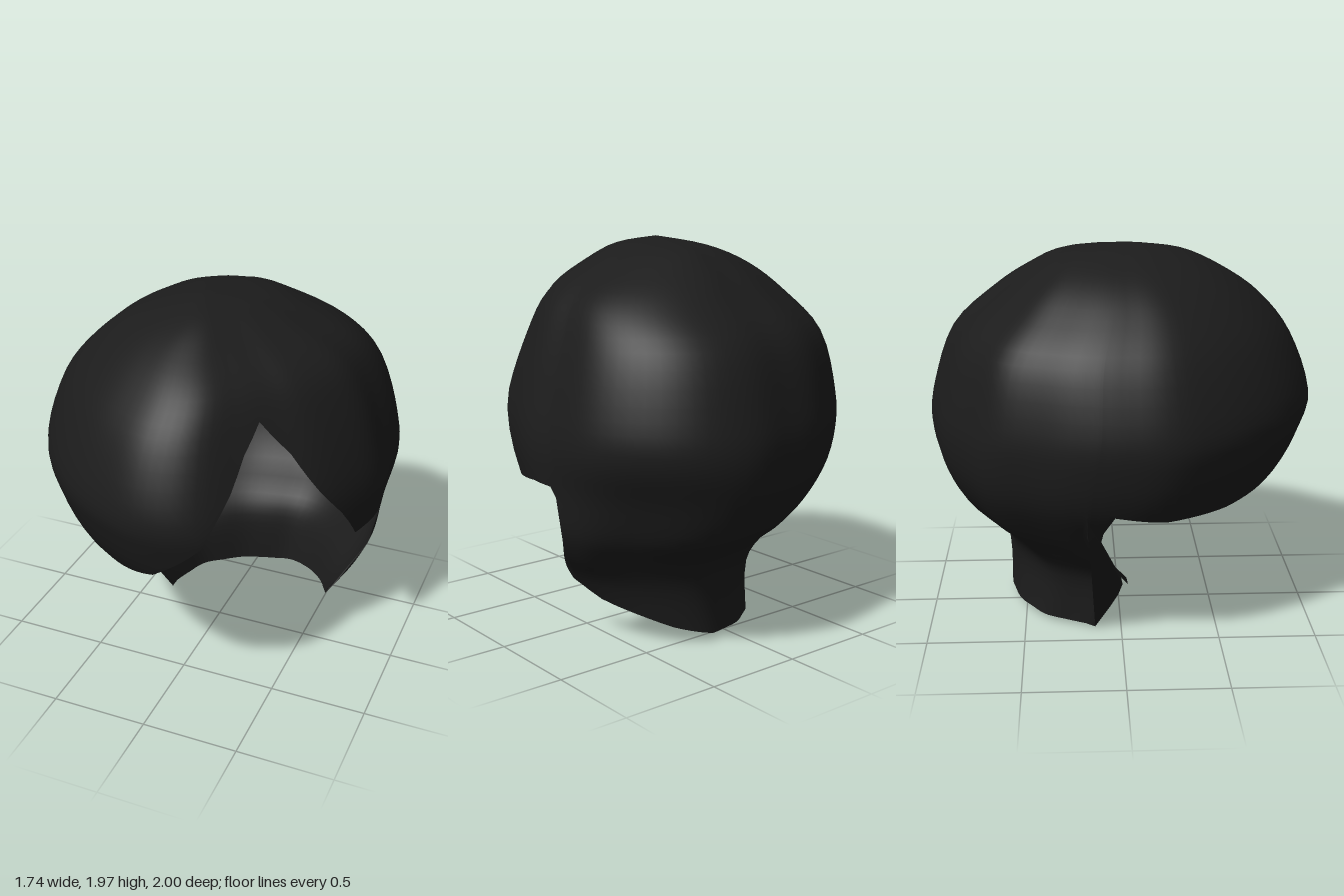
import * as THREE from 'three';
import { mergeVertices } from 'three/addons/utils/BufferGeometryUtils.js';

// Plan radius every 15 degrees, from the front (+z) round through +x
const PLAN = [0.995, 0.985, 0.88, 0.82, 0.82, 0.825, 0.86, 0.885, 0.97, 1.02, 1.05, 1.035,
  0.96, 0.93, 0.9, 0.91, 0.87, 0.87, 0.875, 0.895, 0.885, 0.89, 0.915, 0.95];

// Levels from crown to nape: y, x min, x max, z min, z max,
// lean (away from the parting), swell (of the back left quarter)
const LEVELS = [
  [1.97, -0.04, -0.04, 0.1, 0.1, 0.05, 0.02],
  [1.93, -0.2, 0.2, -0.27, 0.33, 0.05, 0.02],
  [1.84, -0.42, 0.41, -0.46, 0.53, 0.05, 0.02],
  [1.7, -0.6, 0.63, -0.65, 0.73, 0.05, 0.03],
  [1.5, -0.76, 0.75, -0.86, 0.89, 0.04, 0.03],
  [1.2, -0.86, 0.84, -0.97, 1.0, 0.01, 0.02],
  [1.0, -0.85, 0.87, -1.0, 0.96, 0, -0.01],
  [0.8, -0.78, 0.85, -0.96, 0.87, 0, -0.08],
  [0.6, -0.64, 0.82, -0.85, 0.72, 0, -0.12],
  [0.45, -0.55, 0.75, -0.67, 0.7, 0, -0.09],
  [0.28, -0.44, 0.62, -0.6, 0.85, 0, -0.06],
  [0.0, -0.36, 0.46, -0.59, 0.5, 0, -0.06],
];

// Lower edge: angle in degrees, height (nape, right side, swept fringe, parting, left side)
const EDGE = [
  [105, 0.28], [117, 0.2], [149, 0.09], [170, 0.04], [200, 0.03], [230, 0.025], [252, 0.015],
  [259, 0.0], [261, 0.15], [261.5, 0.28], [261.8, 0.45], [261, 0.6], [260.5, 0.79], [270, 0.79],
  [290, 0.74], [318, 0.72], [345, 0.77], [360, 0.85], [377, 1.07], [387, 1.3], [392, 1.45],
  [399, 1.57], [411, 1.4], [420, 1.2], [432, 0.93], [437, 0.82], [452, 0.84], [461, 0.83],
  [463, 0.78], [464, 0.55], [465, 0.28],
].sort((a, b) => a[0] - b[0]);

function cubic(a, b, c, d, t) {
  return b + 0.5 * t * (c - a + t * (2 * a - 5 * b + 4 * c - d + t * (3 * (b - c) + d - a)));
}

function planRadius(deg) {
  const n = PLAN.length, u = deg / 15, i = Math.floor(u);
  const at = (k) => PLAN[(k + n) % n];
  return cubic(at(i - 1), at(i), at(i + 1), at(i + 2), u - i);
}

function level(v) {
  const n = LEVELS.length, i = Math.min(Math.floor(v), n - 2);
  const at = (k) => LEVELS[Math.max(0, Math.min(n - 1, k))];
  return LEVELS[0].map((_, c) => cubic(at(i - 1)[c], at(i)[c], at(i + 1)[c], at(i + 2)[c], v - i));
}

// Level parameter at which the surface reaches height y
function levelAt(y) {
  let lo = 0, hi = LEVELS.length - 1;
  for (let k = 0; k < 30; k++) {
    const mid = (lo + hi) / 2;
    if (level(mid)[0] > y) lo = mid; else hi = mid;
  }
  return hi;
}

function surfacePoint(deg, v) {
  const [y, x0, x1, z0, z1, lean, swell] = level(v);
  const a = THREE.MathUtils.degToRad(deg), twice = Math.sin(2 * a);
  const parting = Math.max(0, twice) * Math.cos(a - Math.PI / 4);
  const backLeft = Math.max(0, -twice) * Math.max(0, Math.cos(a - 0.75 * Math.PI));
  const r = planRadius(deg) * (1 - lean * parting + swell * backLeft ** 2);
  return [
    (x0 + x1) / 2 + ((x1 - x0) / 1.74) * r * Math.sin(a),
    Math.max(0, y),
    (z0 + z1) / 2 + ((z1 - z0) / 2) * r * Math.cos(a),
  ];
}

function hairGeometry() {
  // Columns follow the edge points, subdivided to at most 4 degrees
  const columns = [];
  for (let i = 0; i < EDGE.length - 1; i++) {
    const [a0, y0] = EDGE[i], [a1, y1] = EDGE[i + 1];
    const steps = Math.ceil((a1 - a0) / 4);
    for (let s = 0; s < steps; s++) {
      const t = s / steps;
      columns.push([a0 + (a1 - a0) * t, y0 + (y1 - y0) * t]);
    }
  }
  columns.push(EDGE[EDGE.length - 1]);

  // Rows share the same levels everywhere and stop at the lower edge
  const rows = 44, step = (LEVELS.length - 1) / rows;
  const positions = [], triangles = [];
  for (const [deg, edgeY] of columns) {
    const end = levelAt(edgeY);
    for (let r = 0; r <= rows; r++) positions.push(...surfacePoint(deg, Math.min(end, r * step)));
  }
  for (let c = 0; c < columns.length - 1; c++) {
    for (let r = 0; r < rows; r++) {
      const a = c * (rows + 1) + r, b = a + rows + 1;
      triangles.push([a, a + 1, b + 1], [a, b + 1, b]);
    }
  }
  let geometry = new THREE.BufferGeometry();
  geometry.setAttribute('position', new THREE.Float32BufferAttribute(positions, 3));
  geometry.setIndex(triangles.flat());
  geometry = mergeVertices(geometry, 1e-4);

  // Drop the triangles that collapsed at the crown and below the edge
  const index = Array.from(geometry.index.array), kept = [];
  for (let i = 0; i < index.length; i += 3) {
    const [a, b, c] = index.slice(i, i + 3);
    if (a !== b && b !== c && c !== a) kept.push(a, b, c);
  }
  geometry.setIndex(kept);
  geometry.computeVertexNormals();
  return geometry;
}

export function createModel() {
  const group = new THREE.Group();
  group.name = 'hairpiece';
  const black = new THREE.MeshStandardMaterial({ color: 0x1c1c1c, side: THREE.DoubleSide });
  black.name = 'soft black';

  // Open shell with side-swept fringe and tapered nape
  const shell = new THREE.Mesh(hairGeometry(), black);
  shell.name = 'hairShell';
  group.add(shell);
  return group;
}
